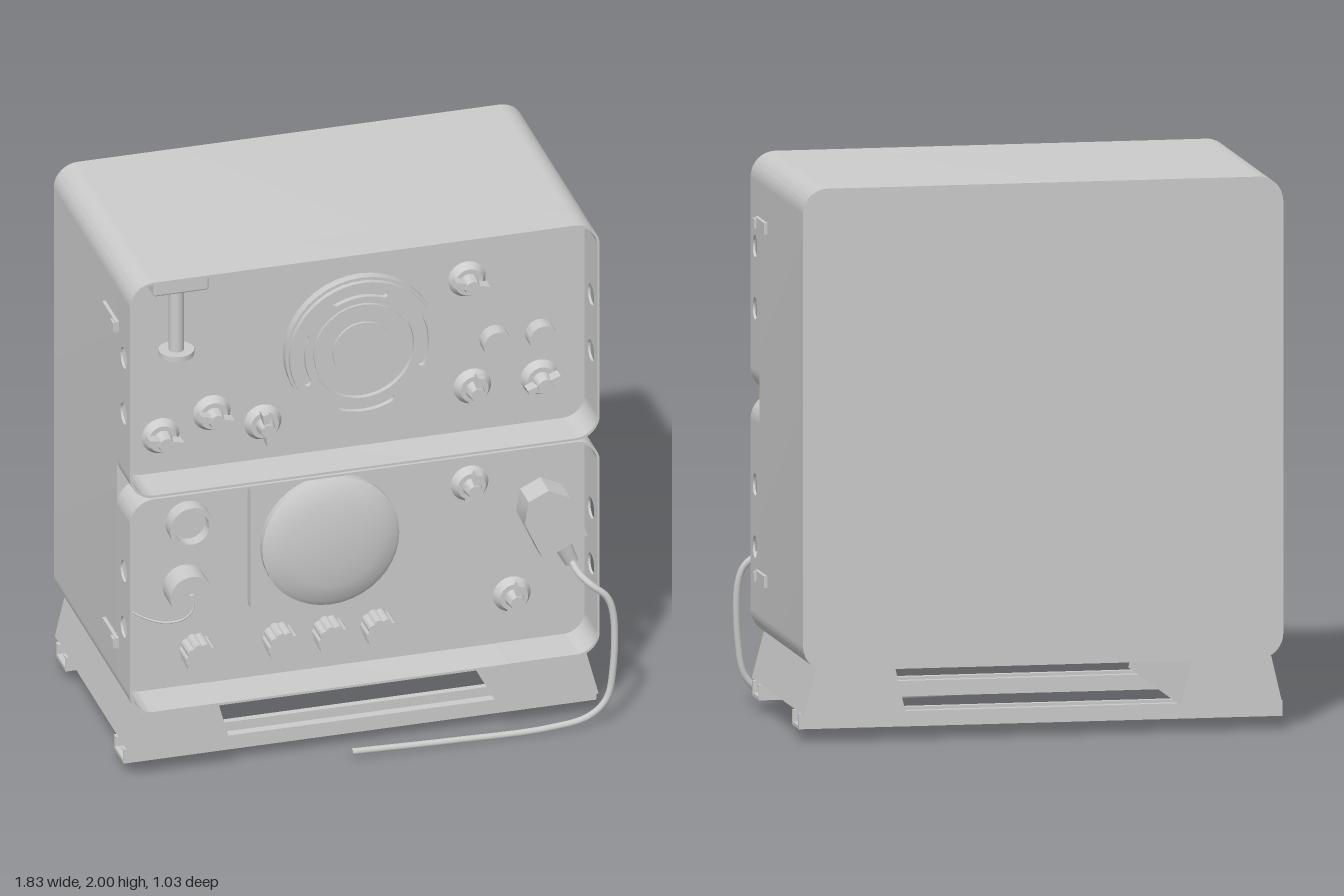
import * as THREE from 'three';
import { toCreasedNormals } from 'three/addons/utils/BufferGeometryUtils.js';
import { RoundedBoxGeometry } from 'three/addons/geometries/RoundedBoxGeometry.js';

const grey = new THREE.MeshStandardMaterial({ color: 0xcccccc });
const CX = -0.018, HALF = 0.874;           // cabinet centre and half width
const BACK = -0.52, PANEL = 0.285, FRONT = 0.45;
const R = 0.09, WALL = 0.009;

function add(parent, name, geo, x = 0, y = 0, z = 0) {
  const m = new THREE.Mesh(geo, grey);
  m.name = name;
  m.position.set(x, y, z);
  parent.add(m);
  return m;
}

const box = (w, h, d) => new THREE.BoxGeometry(w, h, d);

// Cylinder standing on the z = 0 plane, pointing forwards
function disc(rFront, rBack, depth, sides = 32) {
  return toCreasedNormals(new THREE.CylinderGeometry(rFront, rBack, depth, sides)
    .rotateX(Math.PI / 2).translate(0, 0, depth / 2), 0.6);
}

function extrude(shape, depth, curveSegments = 10) {
  return toCreasedNormals(new THREE.ExtrudeGeometry(shape, { depth, bevelEnabled: false, curveSegments }), 0.6);
}

function roundedRect(hw, hh, r) {
  const s = new THREE.Shape();
  s.absarc(hw - r, hh - r, r, 0, Math.PI / 2);
  s.absarc(-hw + r, hh - r, r, Math.PI / 2, Math.PI);
  s.absarc(-hw + r, -hh + r, r, Math.PI, Math.PI * 1.5);
  s.absarc(hw - r, -hh + r, r, Math.PI * 1.5, Math.PI * 2);
  s.closePath();
  return s;
}

function circlePath(x, y, r) {
  return new THREE.Path().absarc(x, y, r, 0, Math.PI * 2, true);
}

// Thin hood around one bay: two rounded caps and two drilled side walls
function bayHood(y0, y1, holeHeights) {
  const g = new THREE.Group();
  const depth = FRONT - PANEL;
  const cap = new THREE.Shape();
  cap.absarc(HALF - R, -R, R, 0, Math.PI / 2);
  cap.absarc(-HALF + R, -R, R, Math.PI / 2, Math.PI);
  cap.absarc(-HALF + R, -R, R - WALL, Math.PI, Math.PI / 2, true);
  cap.absarc(HALF - R, -R, R - WALL, Math.PI / 2, 0, true);
  cap.closePath();
  const capGeo = extrude(cap, depth, 12);
  add(g, 'hoodTop', capGeo, CX, y1, PANEL);
  add(g, 'hoodBottom', capGeo, CX, y0, PANEL).rotation.z = Math.PI;

  const wall = new THREE.Shape([[PANEL, y0 + R], [FRONT, y0 + R], [FRONT, y1 - R], [PANEL, y1 - R]]
    .map(p => new THREE.Vector2(...p)));
  for (const y of holeHeights) wall.holes.push(circlePath(0.37, y, 0.04));
  const wallGeo = extrude(wall, WALL, 24).rotateY(-Math.PI / 2);
  add(g, 'hoodLeftWall', wallGeo, CX + HALF);
  add(g, 'hoodRightWall', wallGeo, CX - HALF + WALL);
  return g;
}

// Dial skirt with a raised pointer bar
function pointerKnob(x, y, degrees) {
  const g = new THREE.Group();
  g.name = 'pointerKnob';
  add(g, 'skirt', disc(0.052, 0.07, 0.03));
  add(g, 'hub', disc(0.026, 0.034, 0.05), 0, 0, 0.03);
  add(g, 'pointer', box(0.13, 0.024, 0.045), 0, 0, 0.052);
  g.position.set(x, y, PANEL);
  g.rotation.z = THREE.MathUtils.degToRad(degrees);
  return g;
}

function flutedShape(r, lobes) {
  const pts = [];
  for (let i = 0; i < lobes * 8; i++) {
    const a = i / (lobes * 8) * Math.PI * 2;
    const d = r * (0.88 + 0.12 * Math.abs(Math.cos(a * lobes / 2)));
    pts.push(new THREE.Vector2(Math.cos(a) * d, Math.sin(a) * d));
  }
  return new THREE.Shape(pts);
}

// Round speaker with four arc slots
function speaker() {
  const g = new THREE.Group();
  g.name = 'speaker';
  add(g, 'speakerBase', disc(0.283, 0.283, 0.035, 40));
  const face = new THREE.Shape().absarc(0, 0, 0.272, 0, Math.PI * 2);
  for (let i = 0; i < 4; i++) {
    const a = i * Math.PI / 2 - 0.35, b = a + 0.8, slot = new THREE.Path();
    const end = t => [Math.cos(t) * 0.23, Math.sin(t) * 0.23];
    slot.absarc(0, 0, 0.245, a, b);
    slot.absarc(...end(b), 0.015, b, b + Math.PI);
    slot.absarc(0, 0, 0.215, b, a, true);
    slot.absarc(...end(a), 0.015, a + Math.PI, a + Math.PI * 2);
    face.holes.push(slot);
  }
  face.holes.push(circlePath(0, 0, 0.19));
  add(g, 'slottedRing', extrude(face, 0.02, 24), 0, 0, 0.035);
  add(g, 'speakerCone', disc(0.18, 0.18, 0.012, 40), 0, 0, 0.035);
  add(g, 'speakerCentre', disc(0.112, 0.112, 0.022, 32), 0, 0, 0.035);
  g.position.set(0.008, 1.553, PANEL);
  return g;
}

function tube(points, r, segments) {
  const curve = new THREE.CatmullRomCurve3(points.map(p => new THREE.Vector3(...p)), false, 'centripetal');
  return new THREE.TubeGeometry(curve, segments, r, 8);
}

export function createModel() {
  const model = new THREE.Group();
  model.name = 'radioCabinet';

  // Cabinet and the two bays
  add(model, 'cabinetBody', extrude(roundedRect(HALF, 0.87, R), PANEL - BACK, 12), CX, 1.13, BACK);
  const upper = bayHood(1.133, 2, [1.67, 1.445]);
  upper.name = 'upperBayHood';
  const lower = bayHood(0.26, 1.127, [0.81, 0.585]);
  lower.name = 'lowerBayHood';
  model.add(upper, lower);

  // Side latches
  for (const s of [-1, 1]) for (const y of [1.765, 0.49]) {
    const x = CX + s * HALF;
    add(model, 'latchStrip', box(0.016, 0.042, 0.17), x + s * 0.005, y, 0.225);
    add(model, 'latchHook', box(0.012, 0.034, 0.035), x + s * 0.016, y, 0.29);
  }

  // Tapered feet and channel rails
  const foot = new THREE.Shape([[-0.185, 0.1], [0.185, 0.1], [0.14, 0.27], [-0.145, 0.27]]
    .map(p => new THREE.Vector2(...p)));
  for (const s of [-1, 1]) {
    add(model, 'foot', extrude(foot, FRONT - BACK), CX + s * 0.685, 0, BACK);
  }
  for (const z of [0.328, -0.41]) {
    add(model, 'railBase', box(1.76, 0.012, 0.126), CX, 0.051, z);
    for (const s of [-1, 1]) {
      add(model, 'railSide', box(1.76, 0.055, 0.012), CX, 0.0725, z + s * 0.057);
      add(model, 'railLip', box(1.76, 0.006, 0.025), CX, 0.098, z + s * 0.05);
    }
  }

  // Panel controls
  model.add(speaker());
  for (const k of [[0.41, 1.755, -15], [0.43, 1.32, 78], [0.68, 1.32, 200], [-0.73, 1.29, -10],
    [-0.54, 1.355, -15], [-0.35, 1.29, 98], [0.42, 0.93, 75], [0.577, 0.46, 75]]) model.add(pointerKnob(...k));
  for (const x of [0.51, 0.68]) add(model, 'button', disc(0.053, 0.053, 0.06), x, 1.5, PANEL);
  const fluted = extrude(flutedShape(0.062, 10), 0.09);
  for (const x of [-0.6, -0.292, -0.107, 0.073]) add(model, 'flutedKnob', fluted, x, 0.413, PANEL);

  // Ring socket, plug and its short wire
  const ring = new THREE.Shape().absarc(0, 0, 0.082, 0, Math.PI * 2);
  ring.holes.push(circlePath(0, 0, 0.064));
  add(model, 'ringSocket', extrude(ring, 0.06, 24), -0.63, 0.93, PANEL);
  add(model, 'ringSocketFloor', disc(0.064, 0.064, 0.012), -0.63, 0.93, PANEL);
  add(model, 'plug', disc(0.08, 0.08, 0.1), -0.642, 0.677, PANEL);
  add(model, 'plugPin', disc(0.012, 0.012, 0.012, 12), -0.642, 0.677, PANEL + 0.1);
  add(model, 'plugWire', tube([[-0.642, 0.677, 0.39], [-0.642, 0.63, 0.395], [-0.68, 0.59, 0.385],
    [-0.75, 0.578, 0.36], [-0.83, 0.605, 0.33], [-0.885, 0.645, 0.3]], 0.004, 30));

  // Round screen on a square bezel
  add(model, 'screenBezel', extrude(roundedRect(0.293, 0.268, 0.04), 0.035), -0.113, 0.807, PANEL);
  const dome = [[0.255, 0], [0.255, 0.03], [0.235, 0.045], [0.17, 0.062], [0.09, 0.072], [0, 0.075]]
    .map(p => new THREE.Vector2(...p));
  add(model, 'screen', toCreasedNormals(new THREE.LatheGeometry(dome, 40).rotateX(Math.PI / 2), 0.6),
    -0.115, 0.807, PANEL + 0.035);

  // Hanging bracket below the top of the upper bay
  add(model, 'bracketBlock', new RoundedBoxGeometry(0.205, 0.065, 0.13, 2, 0.008), -0.693, 1.96, 0.36);
  add(model, 'bracketPost', new THREE.CylinderGeometry(0.028, 0.028, 0.27, 20), -0.693, 1.8, 0.36);
  add(model, 'bracketPlate', new THREE.CylinderGeometry(0.064, 0.064, 0.02, 28), -0.693, 1.662, 0.36);

  // Hand microphone with cable
  const mic = new THREE.Shape([[0.59, 0.8], [0.66, 0.645], [0.825, 0.72], [0.76, 0.88], [0.68, 0.92], [0.605, 0.885]]
    .map(p => new THREE.Vector2(...p)));
  add(model, 'microphone', extrude(mic, 0.11), 0, 0, PANEL + 0.01);
  const neck = add(model, 'microphoneNeck', new THREE.CylinderGeometry(0.034, 0.026, 0.11, 16), 0.757, 0.645, 0.35);
  neck.rotation.z = 0.42;
  add(model, 'microphoneCable', tube([[0.775, 0.605, 0.36], [0.79, 0.575, 0.42], [0.825, 0.545, 0.462],
    [0.875, 0.5, 0.475], [0.897, 0.43, 0.482], [0.893, 0.22, 0.493], [0.867, 0.1, 0.497], [0.8, 0.04, 0.498],
    [0.64, 0.014, 0.498], [0.3, 0.016, 0.498], [-0.08, 0.027, 0.498]], 0.013, 90));

  return model;
}
